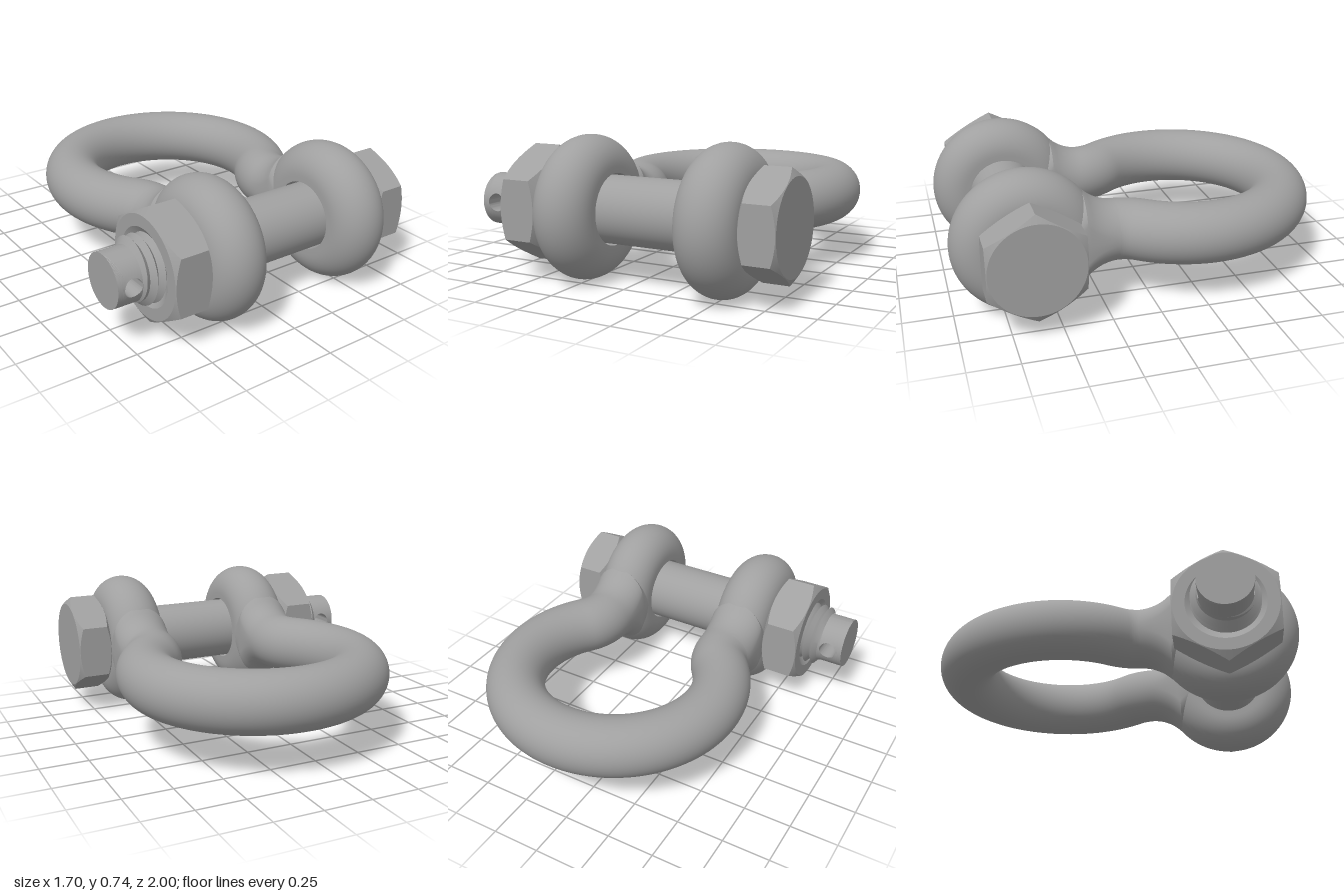
import * as THREE from 'three';
import { toCreasedNormals } from 'three/addons/utils/BufferGeometryUtils.js';

const CY = 0.37, EYE_Z = 0.63, CX = 0.118;   // pin axis height and depth, mid-plane of the bow
const LEG = 0.3875, TUBE = 0.155;            // leg offset from mid-plane, bar radius
const EYE_R = 0.37;

// Surface from a rule: point(i, j) over rows x cols cells
function grid(rows, cols, point) {
  const pos = [], idx = [];
  for (let i = 0; i <= rows; i++)
    for (let j = 0; j <= cols; j++) pos.push(...point(i, j));
  for (let i = 0; i < rows; i++)
    for (let j = 0; j < cols; j++) {
      const a = i * (cols + 1) + j, b = a + cols + 1;
      idx.push(a, b, a + 1, b, b + 1, a + 1);
    }
  const g = new THREE.BufferGeometry();
  g.setAttribute('position', new THREE.Float32BufferAttribute(pos, 3));
  g.setIndex(idx);
  return toCreasedNormals(g, 0.4);
}

// Half-height of the bar: flares with a fillet where it meets the eye
function halfHeight(z) {
  const f = 0.2297, start = 0.17, end = 0.346;
  if (z <= start) return TUBE;
  if (z <= end) return TUBE + f - Math.sqrt(f * f - (z - start) ** 2);
  return THREE.MathUtils.mapLinear(z, end, 0.42, 0.237, 0.165);
}

// Bow: large arc, reverse arc, straight neck, mirrored, then swept
function bowGeometry() {
  const R = 0.5525, zc = -0.2925, r = 0.235, z1 = 0.19;
  const turn = Math.atan2(z1 - zc, LEG + r);
  const half = [];
  for (let i = 0; i <= 40; i++) {
    const a = (Math.PI / 2 + turn) * i / 40;
    half.push([R * Math.sin(a), zc - R * Math.cos(a), Math.cos(a), Math.sin(a)]);
  }
  for (let i = 1; i <= 12; i++) {
    const b = turn * (1 - i / 12);
    half.push([LEG + r - r * Math.cos(b), z1 - r * Math.sin(b), -Math.sin(b), Math.cos(b)]);
  }
  for (let i = 1; i <= 16; i++) half.push([LEG, z1 + (0.42 - z1) * i / 16, 0, 1]);
  const mirrored = half.slice(1).reverse().map(([x, z, tx, tz]) => [-x, z, tx, -tz]);
  const path = [...mirrored, ...half];
  return grid(path.length - 1, 48, (i, j) => {
    const [x, z, tx, tz] = path[i];
    const t = j / 48 * Math.PI * 2, c = TUBE * Math.cos(t), s = Math.sin(t);
    const lift = Math.abs(s) < 1e-6 ? 0 : Math.sign(s) * (halfHeight(z) - TUBE);
    return [CX + x - tz * c, CY + TUBE * s + lift, z + tx * c];
  });
}

// Eye: ring with a half-round rim and a straight bore
function eyeGeometry() {
  const bore = 0.183, ring = EYE_R - TUBE;
  const pts = [new THREE.Vector2(bore, -TUBE)];
  for (let i = 0; i <= 24; i++) {
    const a = -Math.PI / 2 + Math.PI * i / 24;
    pts.push(new THREE.Vector2(ring + TUBE * Math.cos(a), TUBE * Math.sin(a)));
  }
  pts.push(new THREE.Vector2(bore, TUBE), new THREE.Vector2(bore, -TUBE));
  return toCreasedNormals(new THREE.LatheGeometry(pts, 72).rotateZ(Math.PI / 2), 0.4);
}

// Hexagon along x with corners chamfered at both ends, optional countersink
function hexGeometry(x0, x1, R, sink) {
  const a = R * Math.cos(Math.PI / 6), face = a * 0.985;
  return grid(sink ? 7 : 5, 72, (i, j) => {
    const t = j / 72 * Math.PI * 2;
    const local = (t % (Math.PI / 3)) - Math.PI / 6;
    const rh = a / Math.cos(local), d = (rh - face) * 0.6;
    const rows = [[x0, sink], [x0, face], [x0 + d, rh], [x1 - d, rh], [x1, face], [x1, sink]];
    if (sink) {
      rows.unshift([x0 + 0.035, sink - 0.05]);
      rows.push([x1 - 0.035, sink - 0.05]);
    }
    const [x, r] = rows[i];
    return [x, r * Math.cos(t), -r * Math.sin(t)];
  });
}

// Helical thread with rows alternating between root and crest
function threadGeometry() {
  const start = -0.72, pitch = 0.045;
  return grid(9, 64, (i, j) => {
    const k = i - 2, u = j / 64, t = u * Math.PI * 2;
    const x = Math.max(start, start + pitch * (k / 2 + u));
    const r = Math.min(k % 2 ? 0.173 : 0.143, 0.1375 + (x - start) * 1.6);
    return [x, r * Math.cos(t), -r * Math.sin(t)];
  });
}

const TIP_R = 0.1375, HOLE_R = 0.047, HOLE_X = -0.768;

// Half of the bolt tip wall, blended from the cross hole out to its edges
function tipHalfGeometry() {
  return grid(10, 64, (i, j) => {
    const t = j / 64 * Math.PI * 2, c = Math.cos(t), s = Math.sin(t), k = i / 10;
    const m = Math.max(Math.abs(c), Math.abs(s));
    const x = THREE.MathUtils.lerp(HOLE_R * c, c / m * (c < 0 ? 0.082 : 0.068), k);
    const p = THREE.MathUtils.lerp(Math.asin(HOLE_R * s / TIP_R), s / m * Math.PI / 2, k);
    return [HOLE_X + x, TIP_R * Math.sin(p), TIP_R * Math.cos(p)];
  });
}

// Inner wall of the cross hole
function tunnelGeometry() {
  return grid(1, 64, (i, j) => {
    const t = j / 64 * Math.PI * 2, y = HOLE_R * Math.sin(t);
    return [HOLE_X + HOLE_R * Math.cos(t), y, (i ? 1 : -1) * Math.sqrt(TIP_R ** 2 - y * y)];
  });
}

export function createModel() {
  const model = new THREE.Group();
  model.name = 'bowShackle';
  const steel = new THREE.MeshStandardMaterial({ color: 0xa0a0a0 });
  steel.name = 'grey steel';

  const add = (parent, name, geometry) => {
    const mesh = new THREE.Mesh(geometry, steel);
    mesh.name = name;
    parent.add(mesh);
    return mesh;
  };

  // Shackle body
  add(model, 'bow', bowGeometry());
  const eye = eyeGeometry();
  for (const side of [-1, 1])
    add(model, side < 0 ? 'rightEye' : 'leftEye', eye).position.set(CX + side * LEG, CY, EYE_Z);

  // Bolt, built around its own axis
  const bolt = new THREE.Group();
  bolt.name = 'bolt';
  bolt.position.set(0, CY, EYE_Z);
  model.add(bolt);

  const pin = new THREE.CylinderGeometry(0.173, 0.173, 1.13, 64).rotateZ(Math.PI / 2);
  add(bolt, 'pin', pin).position.x = 0.115;
  add(bolt, 'boltHead', hexGeometry(0.662, 0.845, 0.275, 0));
  add(bolt, 'nut', hexGeometry(-0.63, -0.425, 0.3075, 0.2));
  add(bolt, 'thread', threadGeometry());

  // Drilled tip
  const half = tipHalfGeometry();
  add(bolt, 'tipFront', half);
  add(bolt, 'tipBack', half).rotation.x = Math.PI;
  add(bolt, 'crossHole', tunnelGeometry());
  const end = new THREE.CircleGeometry(TIP_R, 64).rotateY(-Math.PI / 2);
  add(bolt, 'tipEnd', end).position.x = -0.85;

  return model;
}
